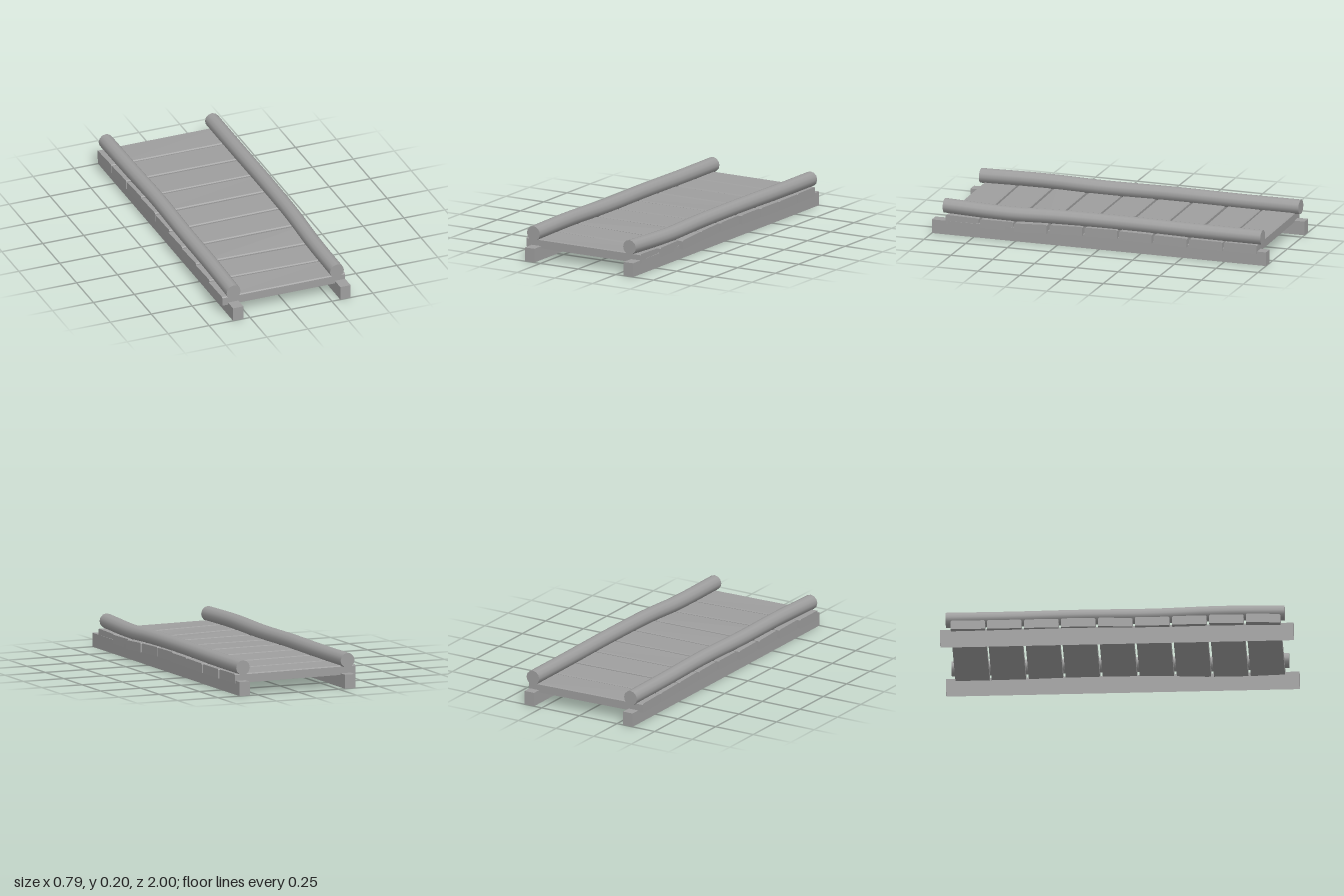
import * as THREE from 'three';

const material = new THREE.MeshStandardMaterial({ color: 0x9e9e9e });
const openMaterial = new THREE.MeshStandardMaterial({ color: 0x9e9e9e, side: THREE.DoubleSide });

// Plank rows: [centre z, -x end, +x end]
const PLANKS = [
  [-0.845, -0.380, 0.373],
  [-0.640, -0.375, 0.382],
  [-0.430, -0.370, 0.388],
  [-0.222, -0.370, 0.389],
  [-0.012, -0.370, 0.379],
  [0.197, -0.378, 0.379],
  [0.407, -0.380, 0.385],
  [0.617, -0.384, 0.366],
  [0.825, -0.391, 0.362],
];

// Underside of the wavy deck along each edge, as (z, y) curves
const sag = (points) => new THREE.SplineCurve(points.map((q) => new THREE.Vector2(...q)));
const RIGHT_SAG = sag([[-1, 0.071], [-0.6, 0.073], [-0.2, 0.076], [0.2, 0.070], [0.6, 0.073], [1, 0.066]]);
const LEFT_SAG = sag([[-1, 0.066], [-0.6, 0.067], [-0.2, 0.074], [0.2, 0.071], [0.6, 0.056], [1, 0.064]]);

// Board with chamfered upper edges, spanning the beams and following the deck's wave
function plank([z, x0, x1]) {
  const w = 0.097, h = 0.053, c = 0.006;
  const profile = new THREE.Shape([[-w, 0], [w, 0], [w, h - c], [w - c, h], [c - w, h], [-w, h - c]]
    .map((q) => new THREE.Vector2(...q)));
  const geo = new THREE.ExtrudeGeometry(profile, { depth: 1, bevelEnabled: false }).rotateY(Math.PI / 2);
  const p = geo.attributes.position;
  for (let i = 0; i < p.count; i++) {
    const t = p.getX(i);
    const dz = p.getZ(i);
    const along = (z + dz + 1) / 2;
    const y = THREE.MathUtils.lerp(RIGHT_SAG.getPoint(along).y, LEFT_SAG.getPoint(along).y, t);
    p.setXYZ(i, THREE.MathUtils.lerp(x0, x1, t) + dz * 0.03, y + p.getY(i), z + dz + (0.5 - t) * 0.008);
  }
  geo.computeVertexNormals();
  return new THREE.Mesh(geo, material);
}

// Round log bent along a gently wavering centre line, running back to front
function log(points, radius) {
  const curve = new THREE.CatmullRomCurve3(points.map((q) => new THREE.Vector3(...q)));
  const geo = new THREE.CylinderGeometry(radius, radius, 1, 12, 24).rotateX(Math.PI / 2);
  const p = geo.attributes.position;
  for (let i = 0; i < p.count; i++) {
    const c = curve.getPointAt(THREE.MathUtils.clamp(p.getZ(i) + 0.5, 0, 1));
    p.setXYZ(i, c.x + p.getX(i), c.y + p.getY(i), c.z);
  }
  return new THREE.Mesh(geo, material);
}

// Hollow beam: a box without its bottom face
function beam(x) {
  const geo = new THREE.BoxGeometry(0.063, 0.08, 2);
  const index = Array.from(geo.index.array);
  index.splice(18, 6);
  geo.setIndex(index);
  geo.clearGroups();
  const mesh = new THREE.Mesh(geo, openMaterial);
  mesh.position.set(x, 0.04, 0);
  return mesh;
}

export function createModel() {
  const model = new THREE.Group();
  model.name = 'plankWalkway';

  // Support beams
  for (const [name, x] of [['rightBeam', -0.322], ['leftBeam', 0.333]]) {
    const support = beam(x);
    support.name = name;
    model.add(support);
  }

  // Deck boards
  const deck = new THREE.Group();
  deck.name = 'deck';
  PLANKS.forEach((row, i) => {
    const board = plank(row);
    board.name = `plank${i + 1}`;
    deck.add(board);
  });
  model.add(deck);

  // Edge logs
  const rightLog = log([
    [-0.320, 0.156, -0.968], [-0.317, 0.156, -0.6], [-0.314, 0.160, -0.2],
    [-0.319, 0.155, 0.2], [-0.325, 0.160, 0.58], [-0.329, 0.153, 0.948],
  ], 0.043);
  rightLog.name = 'rightLog';
  const leftLog = log([
    [0.329, 0.156, -0.968], [0.329, 0.156, -0.6], [0.328, 0.159, -0.15],
    [0.325, 0.156, 0.25], [0.317, 0.145, 0.55], [0.305, 0.153, 0.942],
  ], 0.0425);
  leftLog.name = 'leftLog';
  model.add(rightLog, leftLog);

  return model;
}
